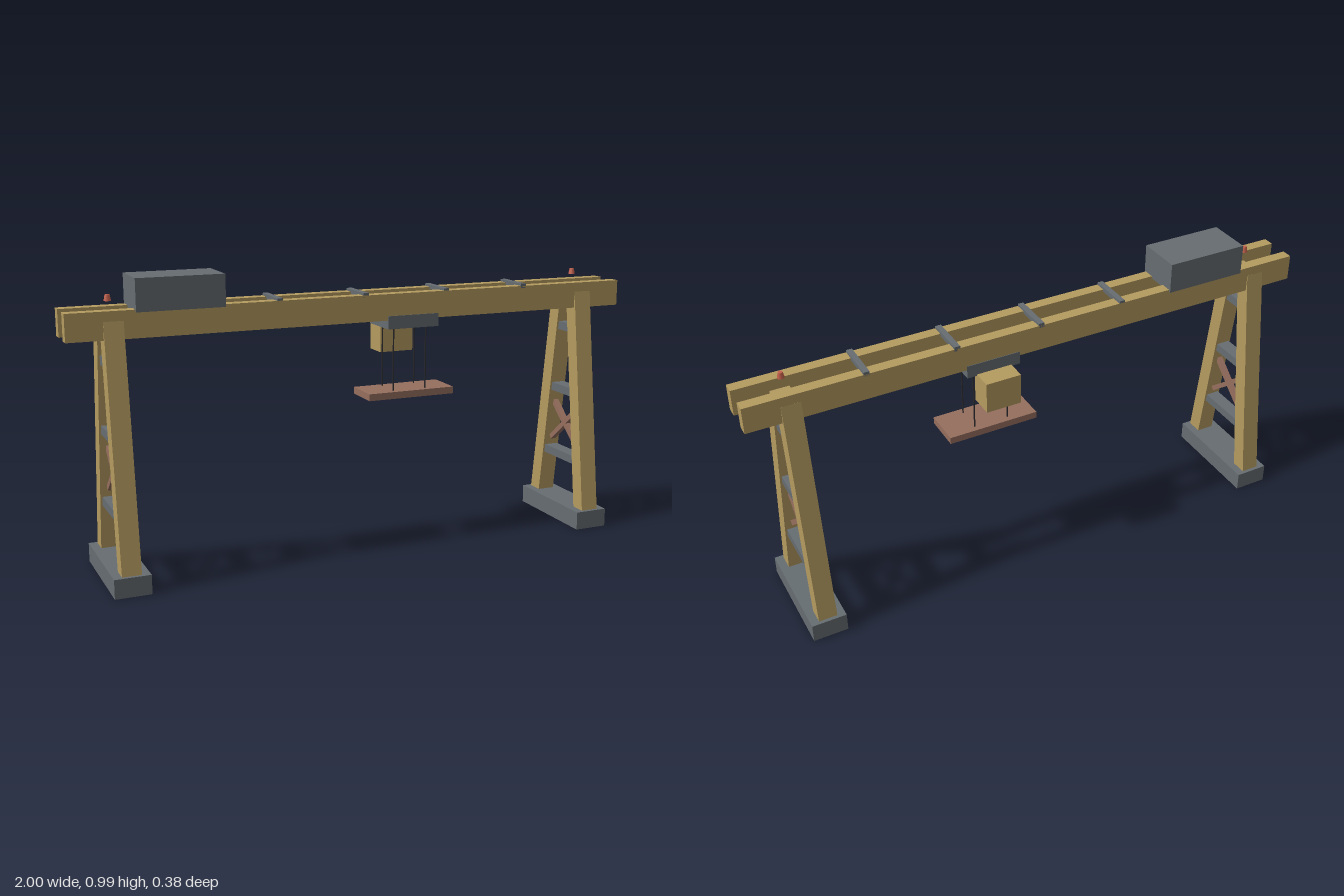
import * as THREE from 'three';

const mat = (name, color) => {
  const m = new THREE.MeshStandardMaterial({ color });
  m.name = name;
  return m;
};

export function createModel() {
  const tan = mat('tan paint', 0xb59b60);
  const grey = mat('grey steel', 0x666d71);
  const brown = mat('brown steel', 0x966f5f);
  const red = mat('beacon red', 0xc4604c);
  const dark = mat('dark cable', 0x2b2b2e);

  const crane = new THREE.Group();
  crane.name = 'gantryCrane';

  // Box given by its limits on each axis
  const box = (parent, name, material, x0, x1, y0, y1, z0, z1) => {
    const m = new THREE.Mesh(new THREE.BoxGeometry(x1 - x0, y1 - y0, z1 - z0), material);
    m.position.set((x0 + x1) / 2, (y0 + y1) / 2, (z0 + z1) / 2);
    m.name = name;
    parent.add(m);
    return m;
  };

  // Square bar running between two points in the local YZ plane
  const bar = (parent, name, material, width, depth, [z0, y0], [z1, y1]) => {
    const dz = z1 - z0, dy = y1 - y0;
    const m = new THREE.Mesh(new THREE.BoxGeometry(width, Math.hypot(dz, dy), depth), material);
    m.position.set(0, (y0 + y1) / 2, (z0 + z1) / 2);
    m.rotation.x = Math.atan2(dz, dy);
    m.name = name;
    parent.add(m);
  };

  // End towers: foot, splayed legs, rungs, cross brace and beacon
  for (const side of [-1, 1]) {
    const tower = new THREE.Group();
    tower.name = side > 0 ? 'leftTower' : 'rightTower';
    tower.position.x = side * 0.85;
    box(tower, 'foot', grey, -0.06, 0.06, 0, 0.065, -0.19, 0.19);
    for (const s of [-1, 1]) {
      bar(tower, 'leg', tan, 0.064, 0.056, [s * 0.152, 0.045], [s * 0.0455, 0.854]);
      bar(tower, 'crossBrace', brown, 0.02, 0.018, [s * 0.087, 0.281], [-s * 0.087, 0.429]);
    }
    for (const [y, halfLength] of [[0.235, 0.11], [0.484, 0.08], [0.72, 0.05]]) {
      box(tower, 'rung', grey, -0.025, 0.025, y - 0.015, y + 0.015, -halfLength, halfLength);
    }
    const beacon = new THREE.Mesh(new THREE.CylinderGeometry(0.008, 0.012, 0.02, 8), red);
    beacon.material.flatShading = false;
    beacon.position.y = 0.922;
    beacon.name = 'beacon';
    tower.add(beacon);
    crane.add(tower);
  }

  // Twin girders and the ties across them
  box(crane, 'frontGirder', tan, -1, 1, 0.8, 0.89, 0.034, 0.073);
  box(crane, 'backGirder', tan, -1, 1, 0.8, 0.89, -0.073, -0.034);
  for (const x of [-0.305, 0, 0.3, 0.605]) {
    box(crane, 'girderTie', grey, x - 0.01, x + 0.01, 0.882, 0.898, -0.073, 0.073);
  }

  // Machine house
  box(crane, 'machineHouse', grey, -0.78, -0.49, 0.882, 0.988, -0.08, 0.08);

  // Trolley with cab, cables and hanging platform
  const trolley = new THREE.Group();
  trolley.name = 'trolley';
  box(trolley, 'trolleyFrame', grey, 0.08, 0.27, 0.77, 0.815, -0.075, 0.075);
  box(trolley, 'cab', tan, 0.112, 0.236, 0.667, 0.775, -0.143, -0.058);
  box(trolley, 'platform', brown, 0.015, 0.335, 0.526, 0.55, -0.067, 0.067);
  for (const x of [0.114, 0.236]) {
    for (const z of [-0.045, 0.045]) {
      const cable = new THREE.Mesh(new THREE.CylinderGeometry(0.0025, 0.0025, 0.23, 6), dark);
      cable.position.set(x, 0.66, z);
      cable.name = 'cable';
      trolley.add(cable);
    }
  }
  crane.add(trolley);
  return crane;
}
